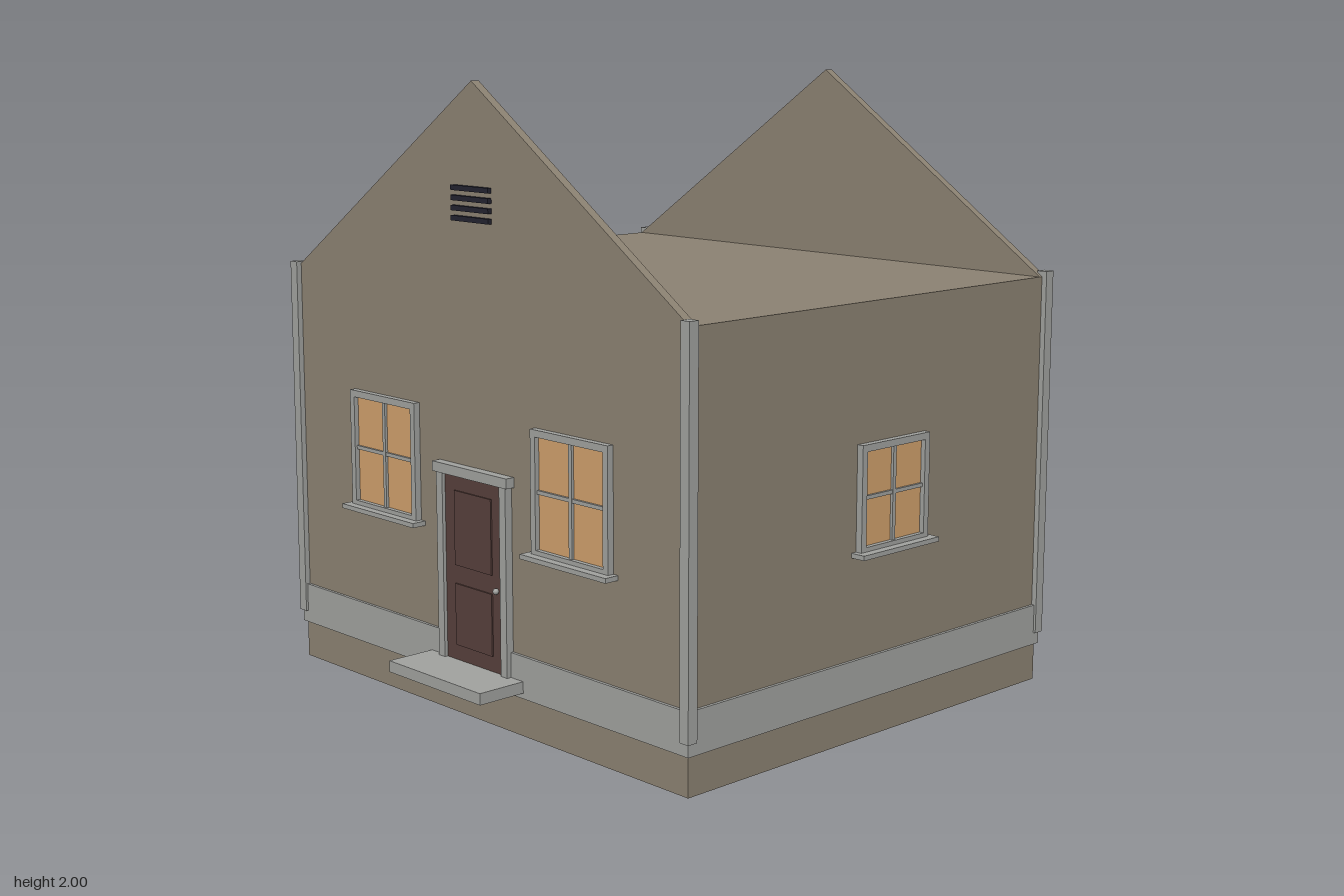
import * as THREE from 'three';

const material = (name, color) => {
  const m = new THREE.MeshStandardMaterial({ color });
  m.name = name;
  return m;
};

export function createModel() {
  const wall = material('tan wall', 0x8b8172);
  const trim = material('grey trim', 0xa0a19e);
  const litGlass = material('warm lit glass', 0xcf9f6b);
  const dark = material('dark glass', 0x23232f);
  const doorBrown = material('dark brown door', 0x573f3b);

  const HW = 0.806, HD = 0.942, EAVES = 1.357;   // wall half sizes and height

  const house = new THREE.Group();
  house.name = 'house';

  // Box given by its centre in x and z, and by its bottom and top heights
  function box(parent, name, mat, w, d, x, z, y0, y1) {
    const mesh = new THREE.Mesh(new THREE.BoxGeometry(w, y1 - y0, d), mat);
    mesh.position.set(x, (y0 + y1) / 2, z);
    mesh.name = name;
    parent.add(mesh);
    return mesh;
  }

  // Group lying on a wall: local x runs along it and local z points outwards
  function onWall(name, x, z, turn) {
    const g = new THREE.Group();
    g.name = name;
    g.position.set(x, 0, z);
    g.rotation.y = turn;
    house.add(g);
    return g;
  }

  // Body and base band
  box(house, 'body', wall, HW * 2, HD * 2, 0, 0, 0, EAVES);
  box(house, 'baseBand', trim, HW * 2 + 0.02, HD * 2 + 0.02, 0, 0, 0.125, 0.26);

  // Corner posts
  for (const sx of [-1, 1]) for (const sz of [-1, 1])
    box(house, 'cornerPost', trim, 0.036, 0.036, sx * HW, sz * HD, 0.165, 1.375);

  // Thin gables standing above the side walls
  const gableShape = new THREE.Shape([
    new THREE.Vector2(-HD, EAVES), new THREE.Vector2(HD, EAVES), new THREE.Vector2(0, 2),
  ]);
  for (const s of [-1, 1]) {
    const geo = new THREE.ExtrudeGeometry(gableShape, { depth: 0.03, bevelEnabled: false });
    const gable = new THREE.Mesh(geo, wall);
    gable.name = 'gable';
    gable.rotation.y = Math.PI / 2;
    gable.position.x = s > 0 ? HW - 0.03 : -HW;
    house.add(gable);
  }

  // Four-pane window with frame, glazing bars and sill
  function litWindow(x, z, turn, w, y0, y1) {
    const g = onWall('litWindow', x, z, turn);
    const b = 0.022, mid = (y0 + y1) / 2;
    box(g, 'glass', litGlass, w - b, 0.006, 0, 0.003, y0, y1 - b / 2);
    for (const s of [-1, 1])
      box(g, 'frameSide', trim, b, 0.022, s * (w - b) / 2, 0.011, y0, y1);
    box(g, 'frameTop', trim, w - 2 * b, 0.022, 0, 0.011, y1 - b, y1);
    box(g, 'frameBottom', trim, w - 2 * b, 0.022, 0, 0.011, y0, y0 + 0.014);
    box(g, 'uprightBar', trim, 0.014, 0.015, 0, 0.0075, y0, y1);
    box(g, 'crossBar', trim, w - 2 * b, 0.014, 0, 0.007, mid - 0.006, mid + 0.006);
    box(g, 'sill', trim, w + 0.04, 0.05, 0, 0.025, y0 - 0.015, y0);
  }
  litWindow(0.055, HD, 0, 0.312, 0.597, 0.928);
  litWindow(0.055, -HD, Math.PI, 0.312, 0.597, 0.928);
  for (const s of [-1, 1]) litWindow(-HW, s * 0.457, -Math.PI / 2, 0.345, 0.597, 0.98);

  // Dark windows on the opposite side
  for (const s of [-1, 1])
    box(house, 'darkWindow', dark, 0.009, 0.267, HW + 0.0045, s * 0.457, 0.635, 0.935);

  // Door with frame, raised panels, knob and step
  const door = onWall('door', -HW, 0, -Math.PI / 2);
  box(door, 'doorLeaf', doorBrown, 0.28, 0.014, 0, 0.007, 0.18, 0.78);
  for (const [y0, y1] of [[0.23, 0.43], [0.49, 0.73]])
    box(door, 'doorPanel', doorBrown, 0.18, 0.006, 0, 0.016, y0, y1);
  for (const s of [-1, 1])
    box(door, 'doorPost', trim, 0.03, 0.026, s * 0.155, 0.013, 0.18, 0.78);
  box(door, 'lintel', trim, 0.365, 0.032, 0, 0.016, 0.78, 0.812);
  box(door, 'step', trim, 0.455, 0.18, 0, 0.09, 0.143, 0.18);
  const knob = new THREE.Mesh(new THREE.SphereGeometry(0.01, 12, 8), trim);
  knob.name = 'knob';
  knob.position.set(0.115, 0.445, 0.022);
  door.add(knob);

  // Slatted vent high in the gable over the door
  const vent = onWall('vent', -HW, 0, -Math.PI / 2);
  for (let i = 0; i < 4; i++)
    box(vent, 'ventSlat', dark, 0.18, 0.014, 0, 0.007, 1.575 + i * 0.031, 1.591 + i * 0.031);

  // The house stands slightly turned on its plot
  house.rotation.y = 0.038;
  house.position.x = 0.063;

  const model = new THREE.Group();
  model.name = 'cottage';
  model.add(house);
  return model;
}
